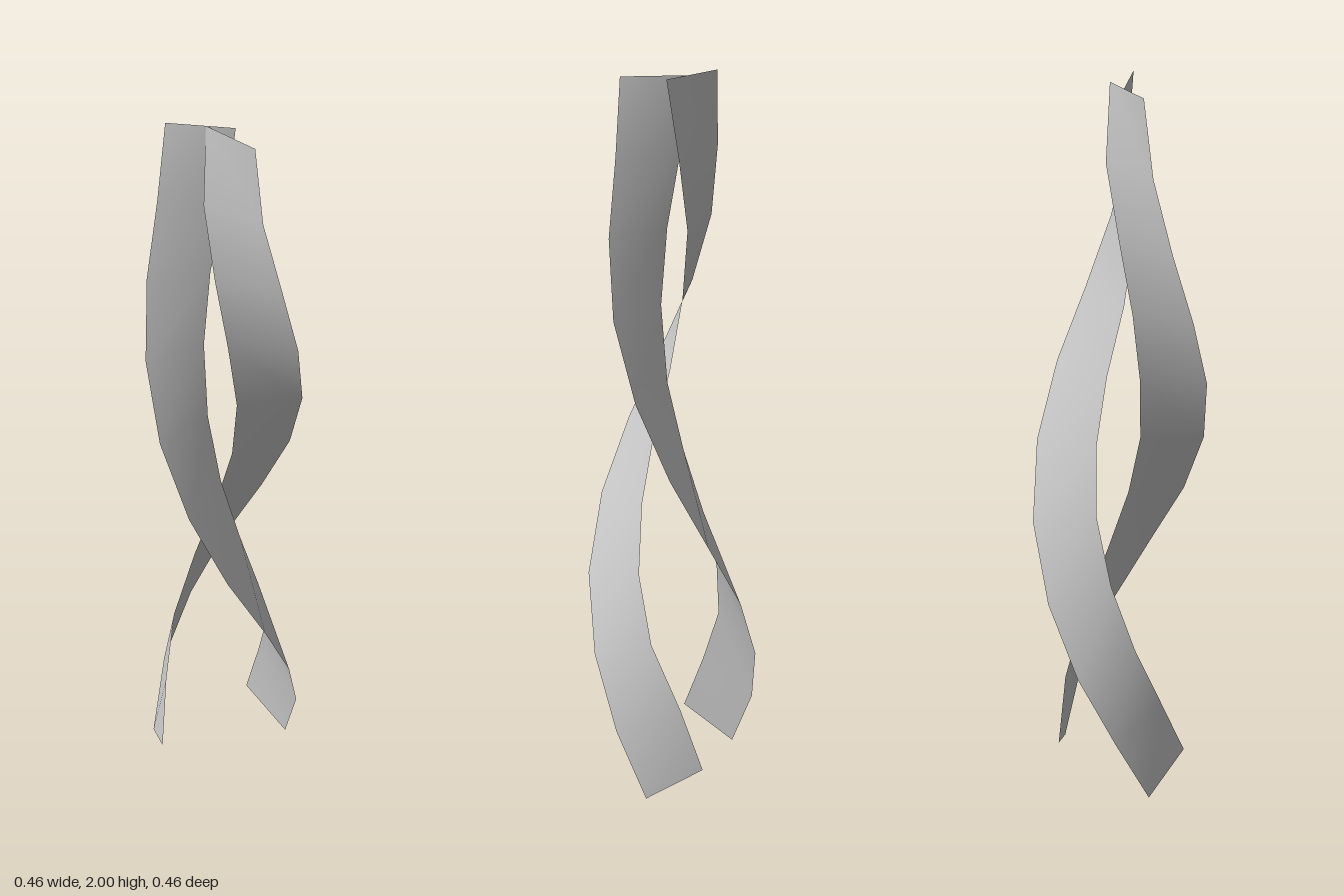
import * as THREE from 'three';

const LEVELS = 11;

// Rise of the inner edge above the outer edge, fading out up the ribbon
const tilt = (i) => 0.08 * Math.max(0, 1 - i / 6);

// Sections from bottom to top: [outer x, outer z, inner x, inner z]
const leftSections = [
  [-0.10, -0.19, -0.19, -0.06], [-0.01, -0.23, -0.125, -0.105],
  [0.095, -0.218, -0.055, -0.138], [0.18, -0.16, 0.012, -0.12],
  [0.23, -0.063, 0.055, -0.075], [0.228, 0.04, 0.06, -0.02],
  [0.18, 0.122, 0.035, 0.02], [0.105, 0.168, -0.01, 0.03],
  [0.037, 0.17, -0.037, 0.01], [-0.01, 0.145, -0.04, -0.025],
  [-0.025, 0.13, -0.015, -0.04],
];
const rightSections = [
  [0.17, 0.10, 0.17, -0.06], [0.127, 0.177, 0.155, 0.0],
  [0.037, 0.225, 0.105, 0.075], [-0.07, 0.228, 0.04, 0.10],
  [-0.167, 0.178, -0.018, 0.083], [-0.223, 0.093, -0.053, 0.045],
  [-0.232, 0.0, -0.055, 0.0], [-0.198, -0.08, -0.037, -0.03],
  [-0.145, -0.123, -0.003, -0.038], [-0.095, -0.13, 0.033, -0.01],
  [-0.07, -0.123, 0.025, 0.02],
];

// Thin twisted strip lofted through its sections
function ribbon(name, sections, material) {
  const positions = [];
  const index = [];
  sections.forEach(([ox, oz, ix, iz], i) => {
    const y = (2 * i) / (LEVELS - 1);
    positions.push(ox, y, oz, ix, y + tilt(i), iz);
    if (i < LEVELS - 1) {
      const a = 2 * i;
      index.push(a, a + 1, a + 3, a, a + 3, a + 2);
    }
  });
  const geometry = new THREE.BufferGeometry();
  geometry.setAttribute('position', new THREE.Float32BufferAttribute(positions, 3));
  geometry.setIndex(index);
  geometry.computeVertexNormals();
  const mesh = new THREE.Mesh(geometry, material);
  mesh.name = name;
  return mesh;
}

export function createModel() {
  const group = new THREE.Group();
  group.name = 'twistedRibbons';
  const material = new THREE.MeshStandardMaterial({ color: 0xcccccc, side: THREE.DoubleSide });
  group.add(ribbon('leftRibbon', leftSections, material));
  group.add(ribbon('rightRibbon', rightSections, material));
  return group;
}
